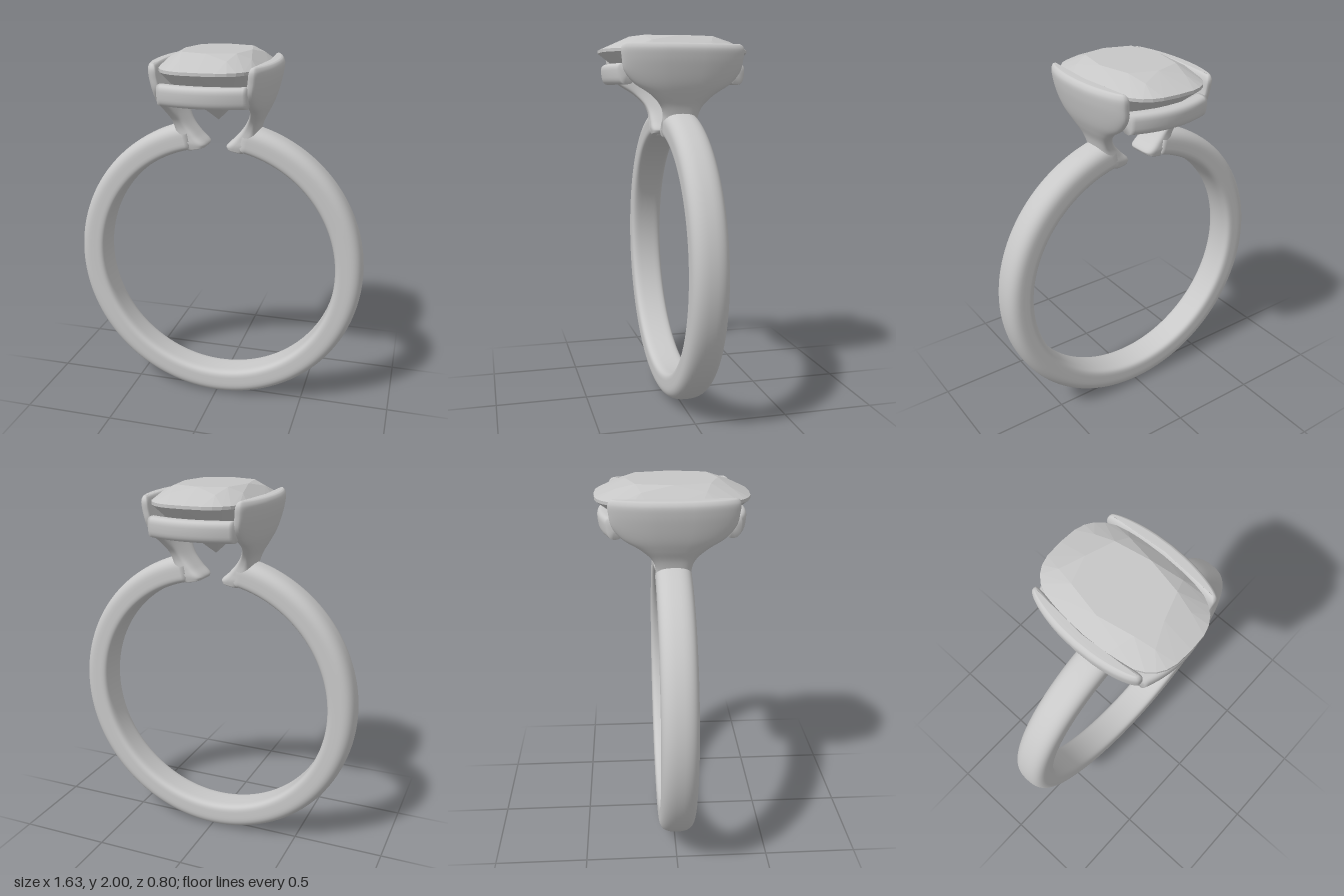
import * as THREE from 'three';
import { ConvexGeometry } from 'three/addons/geometries/ConvexGeometry.js';

const metal = new THREE.MeshStandardMaterial({ color: 0xc8c8c8 });
metal.name = 'metal';
const stone = new THREE.MeshStandardMaterial({ color: 0xc6c6c6 });
stone.name = 'stone';

// Unit superellipse point: n = 2 is a circle, larger n is squarer
function squircle(t, n) {
  const c = Math.cos(t), s = Math.sin(t);
  return [Math.sign(c) * Math.abs(c) ** (2 / n), Math.sign(s) * Math.abs(s) ** (2 / n)];
}

// Closed section of `count` points, each made by place(u, v)
function section(count, exponent, place) {
  return Array.from({ length: count }, (_, i) => {
    const t = (i / count) * Math.PI * 2;
    const n = typeof exponent === 'function' ? exponent(t) : exponent;
    return place(...squircle(t, n));
  });
}

// Smooth capped skin over a row of equal-sized sections
function loft(rings) {
  const n = rings[0].length, last = (rings.length - 1) * n;
  const points = rings.flat(), index = [];
  for (let i = 0; i < rings.length - 1; i++) {
    for (let j = 0; j < n; j++) {
      const a = i * n + j, b = i * n + (j + 1) % n;
      index.push(a, b, a + n, b, b + n, a + n);
    }
  }
  const centre = (ring) => ring.reduce((s, p) => s.add(p), new THREE.Vector3()).divideScalar(n);
  const start = points.length;
  points.push(centre(rings[0]), centre(rings[rings.length - 1]));
  for (let j = 0; j < n; j++) {
    const k = (j + 1) % n;
    index.push(start, k, j, start + 1, last + j, last + k);
  }
  const g = new THREE.BufferGeometry().setFromPoints(points);
  g.setIndex(index);
  g.computeVertexNormals();
  return g;
}

// Open band: domed outside, nearly flat inside
function bandGeometry() {
  const rings = [], steps = 144, gap = 0.2;
  for (let i = 0; i <= steps; i++) {
    const a = gap + (i / steps) * (Math.PI * 2 - gap * 2);
    rings.push(section(48, (t) => (Math.cos(t) > 0 ? 2.6 : 5), (u, v) => {
      const r = 0.741 + 0.074 * u;
      return new THREE.Vector3(r * Math.sin(a), 0.815 + r * Math.cos(a), 0.093 * v);
    }));
  }
  return loft(rings);
}

// Shoulder rising from the band end and flaring into a curved side wall
function shoulderGeometry() {
  // inner x, inner y, outer x, outer y, half width
  const levels = [
    [0.062, 1.486, 0.16, 1.464, 0.086],
    [0.056, 1.5, 0.2, 1.5, 0.092],
    [0.1, 1.545, 0.222, 1.54, 0.092],
    [0.148, 1.6, 0.232, 1.59, 0.095],
    [0.178, 1.645, 0.245, 1.635, 0.115],
    [0.208, 1.7, 0.272, 1.69, 0.17],
    [0.23, 1.76, 0.298, 1.75, 0.262],
    [0.245, 1.82, 0.317, 1.815, 0.31],
    [0.257, 1.88, 0.331, 1.88, 0.322],
    [0.264, 1.925, 0.334, 1.925, 0.325],
    [0.275, 1.945, 0.324, 1.945, 0.315],
    [0.288, 1.952, 0.312, 1.952, 0.3],
  ];
  const inner = new THREE.CatmullRomCurve3(levels.map((l) => new THREE.Vector3(l[0], l[1], l[4])));
  const outer = new THREE.CatmullRomCurve3(levels.map((l) => new THREE.Vector3(l[2], l[3], l[4])));
  const rings = [], steps = 66;
  for (let i = 0; i <= steps; i++) {
    const a = inner.getPoint(i / steps), b = outer.getPoint(i / steps);
    rings.push(section(56, 3.4, (u, v) => {
      const p = a.clone().lerp(b, (u + 1) / 2);
      p.z = -v * a.z;
      p.x -= 0.048 * (p.z / 0.32) ** 2; // wall wraps around the stone
      return p;
    }));
  }
  return loft(rings);
}

// Bowed rail joining the two side walls under the stone
function railGeometry() {
  const rings = [], steps = 24;
  for (let i = 0; i <= steps; i++) {
    const x = -0.23 + (i / steps) * 0.46;
    const z = 0.342 - 0.05 * (x / 0.23) ** 2;
    rings.push(section(32, 3, (u, v) =>
      new THREE.Vector3(x, 1.8 + 0.054 * u, z + (0.04 + 0.006 * u) * v)));
  }
  return loft(rings);
}

// Faceted cushion-cut stone as the hull of its facet corners
function stoneGeometry() {
  // height, x radius, z radius, corner count, turn in steps
  const tiers = [
    [2.0, 0.18, 0.235, 8, 0],
    [1.972, 0.225, 0.305, 8, 0.5],
    [1.928, 0.268, 0.398, 32, 0],
    [1.912, 0.268, 0.398, 32, 0],
    [1.84, 0.22, 0.305, 16, 0.5],
  ];
  const points = [new THREE.Vector3(0, 1.628, 0)];
  for (const [y, rx, rz, count, turn] of tiers) {
    for (let i = 0; i < count; i++) {
      const [u, v] = squircle(((i + turn) / count) * Math.PI * 2, 3);
      points.push(new THREE.Vector3(rx * u, y, rz * v));
    }
  }
  return new ConvexGeometry(points);
}

export function createModel() {
  const model = new THREE.Group();
  model.name = 'ring';
  const add = (name, geometry, material, turn = 0) => {
    const mesh = new THREE.Mesh(geometry, material);
    mesh.name = name;
    mesh.rotation.y = turn;
    model.add(mesh);
  };
  add('band', bandGeometry(), metal);
  const shoulder = shoulderGeometry(), rail = railGeometry();
  add('leftShoulder', shoulder, metal);
  add('rightShoulder', shoulder, metal, Math.PI);
  add('frontRail', rail, metal);
  add('backRail', rail, metal, Math.PI);
  add('cutStone', stoneGeometry(), stone);
  return model;
}
